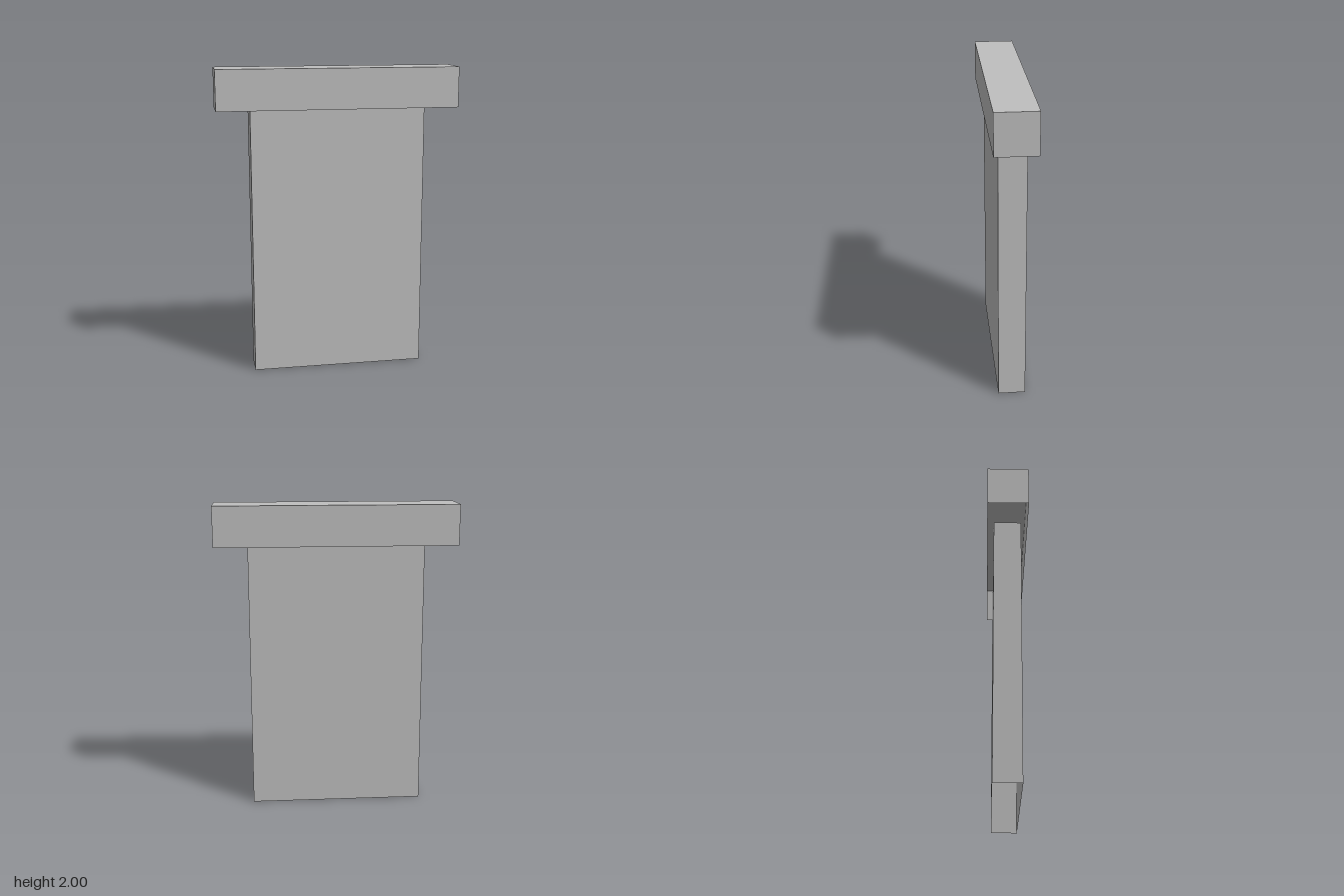
import * as THREE from 'three';

// Box standing on y0, with its underside left open
function openBox(name, width, depth, y0, y1, material) {
  const geometry = new THREE.BoxGeometry(width, y1 - y0, depth);
  const index = Array.from(geometry.index.array);
  index.splice(18, 6); // remove the bottom face
  geometry.setIndex(index);
  geometry.clearGroups();
  const mesh = new THREE.Mesh(geometry, material);
  mesh.name = name;
  mesh.position.y = (y0 + y1) / 2;
  return mesh;
}

export function createModel() {
  const model = new THREE.Group();
  model.name = 'cappedSlab';
  const grey = new THREE.MeshStandardMaterial({ color: 0xbfbfbf, side: THREE.DoubleSide });
  grey.name = 'light grey';

  // Upright slab and the wider beam resting on it
  model.add(openBox('slab', 1.13, 0.175, 0, 1.74, grey));
  model.add(openBox('topBeam', 1.56, 0.26, 1.74, 2, grey));
  return model;
}
